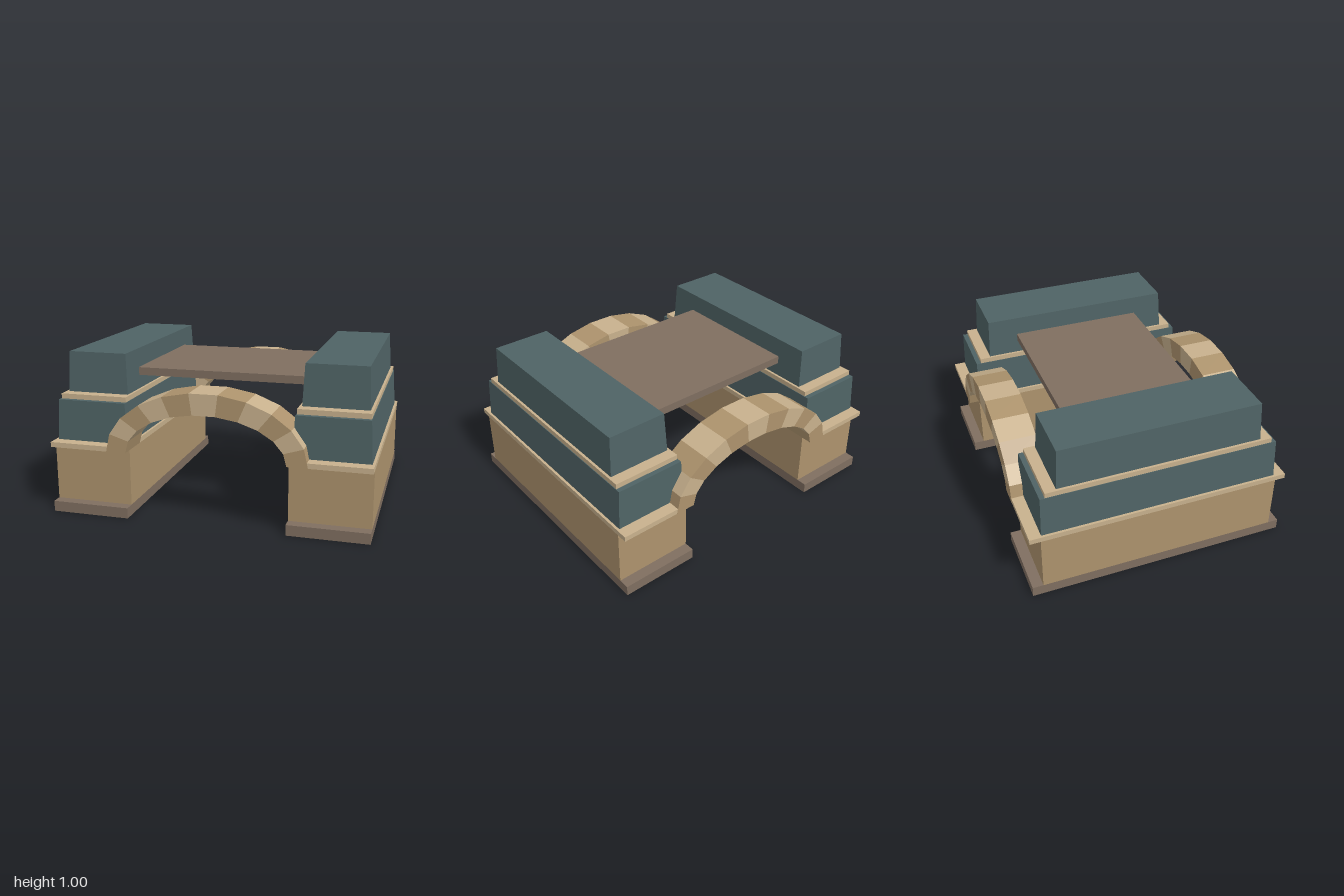
import * as THREE from 'three';

export function createModel() {
  const model = new THREE.Group();
  const mat = (name, color) => new THREE.MeshStandardMaterial({ name, color, flatShading: true });
  const teal = mat('slate teal', 0x4f6365);
  const sand = mat('light sandstone', 0xc8b18d);
  const tan = mat('dark sandstone', 0xad936d);
  const brown = mat('brown stone', 0x7f6e60);

  const add = (parent, name, geometry, material) => {
    const mesh = new THREE.Mesh(geometry, material);
    mesh.name = name;
    parent.add(mesh);
    return mesh;
  };

  // Box from y0 to y1, with half sizes at the bottom that may taper to the top
  const block = (y0, y1, hx, hz, topX = hx, topZ = hz) => {
    const g = new THREE.BoxGeometry(2 * hx, y1 - y0, 2 * hz);
    g.translate(0, (y0 + y1) / 2, 0);
    const p = g.attributes.position;
    for (let i = 0; i < p.count; i++) {
      if (p.getY(i) > (y0 + y1) / 2) {
        p.setX(i, Math.sign(p.getX(i)) * topX);
        p.setZ(i, Math.sign(p.getZ(i)) * topZ);
      }
    }
    g.computeVertexNormals();
    return g;
  };

  // Two stepped side piers
  for (const side of [-1, 1]) {
    const pier = new THREE.Group();
    pier.name = side > 0 ? 'leftPier' : 'rightPier';
    pier.position.x = side * 0.75;
    add(pier, 'plinth', block(0, 0.067, 0.25, 0.83), brown);
    add(pier, 'wall', block(0.067, 0.425, 0.25, 0.763), tan);
    add(pier, 'ledge', block(0.425, 0.457, 0.25, 0.83), sand);
    add(pier, 'lowerBlock', block(0.457, 0.713, 0.234, 0.755, 0.22, 0.747), teal);
    add(pier, 'band', block(0.713, 0.745, 0.216, 0.716), sand);
    add(pier, 'upperBlock', block(0.745, 1, 0.2, 0.645, 0.188, 0.632), teal);
    model.add(pier);
  }

  // Deck between the upper blocks
  add(model, 'deck', block(0.83, 0.88, 0.557, 0.44), brown);

  // Front and back arches of eleven alternating wedge stones
  const stones = 11;
  const onArch = (i, rx, ry) => {
    const a = (Math.PI * i) / stones;
    return new THREE.Vector2(-rx * Math.cos(a), 0.425 + ry * Math.sin(a));
  };
  for (const [name, z] of [['frontArch', 0.6], ['backArch', -0.831]]) {
    const arch = new THREE.Group();
    arch.name = name;
    for (let i = 0; i < stones; i++) {
      const shape = new THREE.Shape([
        onArch(i, 0.5, 0.27), onArch(i + 1, 0.5, 0.27),
        onArch(i + 1, 0.626, 0.403), onArch(i, 0.626, 0.403),
      ]);
      const g = new THREE.ExtrudeGeometry(shape, { depth: 0.231, bevelEnabled: false });
      add(arch, 'archStone', g, i % 2 ? sand : tan).position.z = z;
    }
    model.add(arch);
  }

  return model;
}
